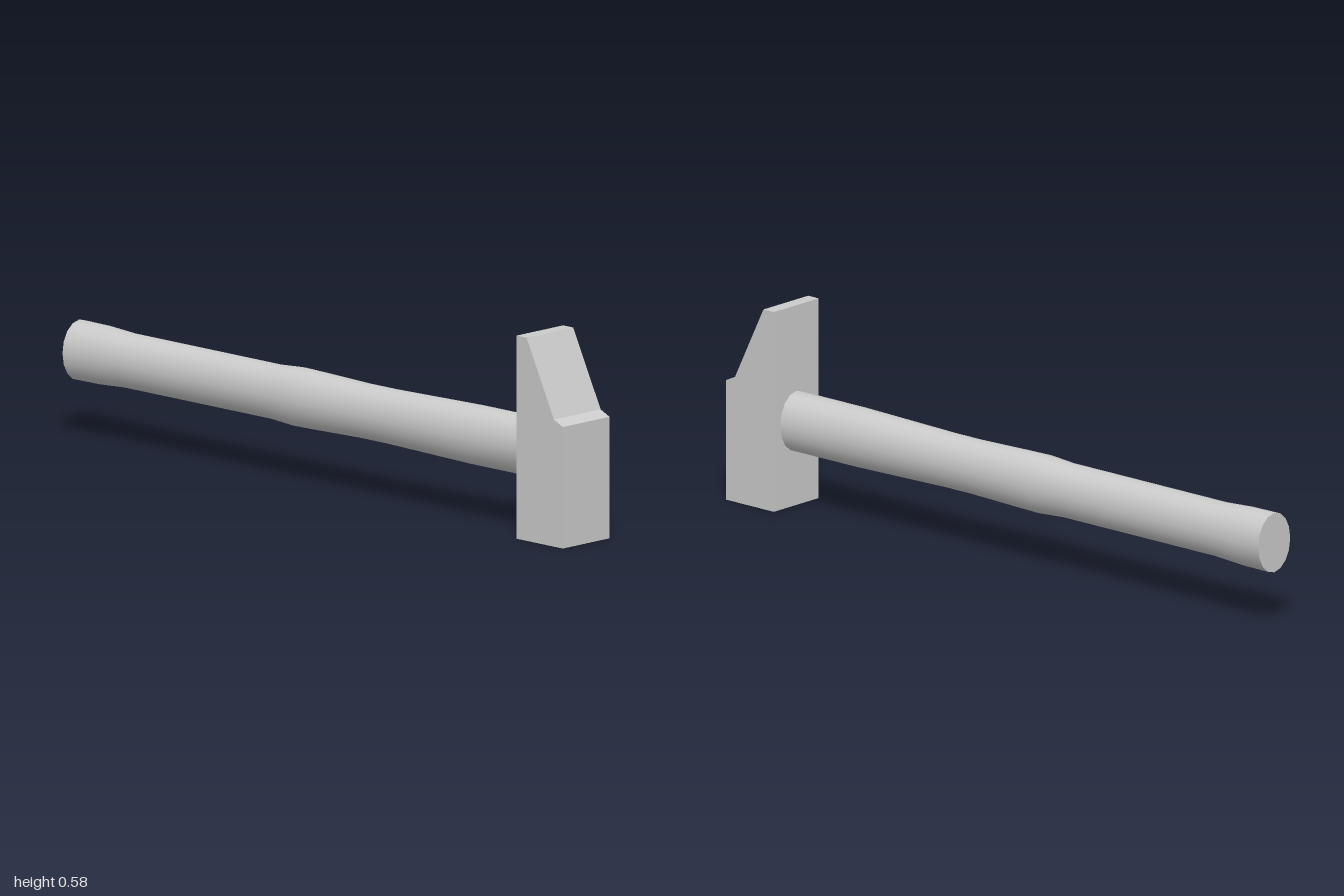
import * as THREE from 'three';
import { toCreasedNormals } from 'three/addons/utils/BufferGeometryUtils.js';

const WIDTH = 0.187; // head width along x
const AXIS_Y = 0.247; // height of the handle axis

// Head: wedge-shaped side profile (z, y) extruded across x
function createHead(material) {
  const profile = [[0.817, 0], [1, 0], [1, 0.35], [0.965, 0.366], [0.857, 0.585], [0.817, 0.585]];
  const shape = new THREE.Shape(profile.map(([z, y]) => new THREE.Vector2(z, y)));
  const geometry = new THREE.ExtrudeGeometry(shape, { depth: WIDTH, bevelEnabled: false });
  geometry.translate(0, 0, -WIDTH / 2).rotateY(-Math.PI / 2);
  const head = new THREE.Mesh(geometry, material);
  head.name = 'head';
  return head;
}

// Handle: turned profile (relative radius, z) flattened to an oval section
function createHandle(material) {
  const profile = [
    [0, -1], [1, -1], [0.99, -0.9], [0.92, -0.8], [0.92, -0.22], [0.99, -0.13],
    [0.97, -0.04], [0.92, 0.13], [0.92, 0.23], [0.96, 0.4], [1, 0.57], [1, 0.83],
  ];
  const points = profile.map(([r, z]) => new THREE.Vector2(r, z));
  const lathe = new THREE.LatheGeometry(points, 16);
  lathe.rotateX(Math.PI / 2).scale(0.067, 0.087, 1);
  const handle = new THREE.Mesh(toCreasedNormals(lathe, 0.7), material);
  handle.name = 'handle';
  handle.position.y = AXIS_Y;
  return handle;
}

export function createModel() {
  const material = new THREE.MeshStandardMaterial({ color: 0xcccccc });
  const hammer = new THREE.Group();
  hammer.name = 'hammer';
  hammer.add(createHead(material), createHandle(material));
  return hammer;
}
